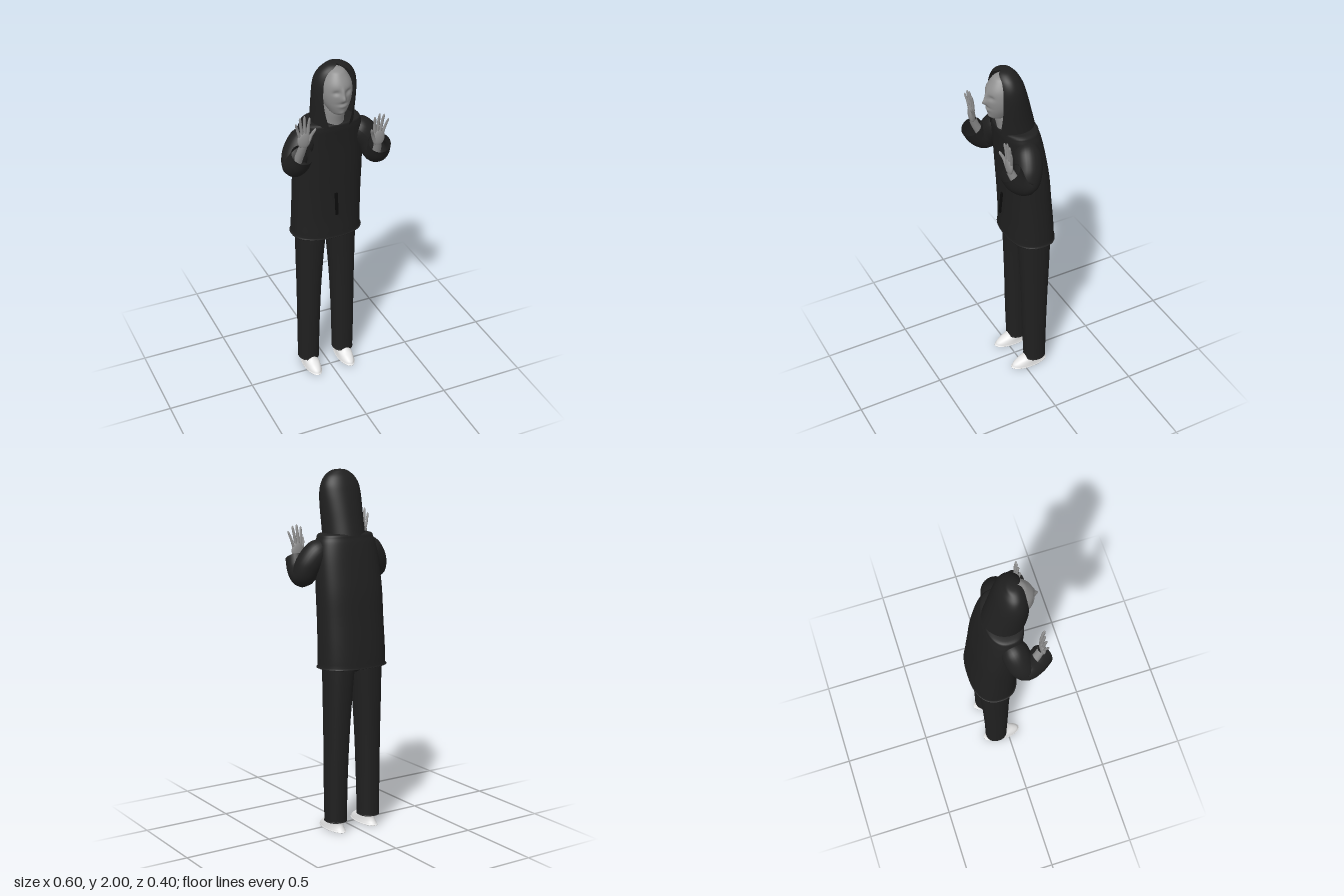
import * as THREE from 'three';
import { mergeVertices } from 'three/addons/utils/BufferGeometryUtils.js';

const cloth = new THREE.MeshStandardMaterial({ color: 0x202020, side: THREE.DoubleSide });
cloth.name = 'charcoal cloth';
const skin = new THREE.MeshStandardMaterial({ color: 0x8e8e8e });
skin.name = 'grey skin';
const white = new THREE.MeshStandardMaterial({ color: 0xe6e6e6 });
white.name = 'shoe white';
const black = new THREE.MeshStandardMaterial({ color: 0x0b0b0b });
black.name = 'zip black';

// Smooth value between b and c
const spline = (a, b, c, d, t) =>
  b + 0.5 * t * (c - a + t * (2 * a - 5 * b + 4 * c - d + t * (3 * (b - c) + d - a)));

function sampleRow(rows, v) {
  const n = rows.length - 1;
  const i = Math.min(n - 1, Math.floor(v * n));
  const at = (k) => rows[Math.max(0, Math.min(n, k))];
  return rows[i].map((_, k) => spline(at(i - 1)[k], at(i)[k], at(i + 1)[k], at(i + 2)[k], v * n - i));
}

// Surface through horizontal rows [y, centreX, halfWidth, zFront, zBack, halfOpening]
function loft(rows, { segments = 40, steps = 4, power = 1, warp } = {}) {
  const nv = (rows.length - 1) * steps;
  const geo = new THREE.PlaneGeometry(1, 1, segments, nv);
  const pos = geo.attributes.position;
  const round = (s) => Math.sign(s) * Math.abs(s) ** power;
  const p = new THREE.Vector3();
  for (let j = 0; j <= nv; j++) {
    const [y, cx, rx, zf, zb, open = 0] = sampleRow(rows, 1 - j / nv);
    const gap = open > 0 ? Math.asin(Math.min(1, open / rx)) : 0;
    for (let i = 0; i <= segments; i++) {
      const a = gap + (i / segments) * (2 * Math.PI - 2 * gap);
      p.set(cx + rx * round(Math.sin(a)), y, (zf + zb) / 2 + ((zf - zb) / 2) * round(Math.cos(a)));
      if (warp) warp(p);
      pos.setXYZ(j * (segments + 1) + i, p.x, p.y, p.z);
    }
  }
  geo.deleteAttribute('uv');
  geo.deleteAttribute('normal');
  const merged = mergeVertices(geo, 1e-5);
  merged.computeVertexNormals();
  return merged;
}

// Tube through points [x, y, z, radius]
function taperTube(points, steps = 24, sides = 24) {
  const curve = new THREE.CatmullRomCurve3(points.map((q) => new THREE.Vector3(q[0], q[1], q[2])));
  const geo = new THREE.TubeGeometry(curve, steps, 1, sides);
  const pos = geo.attributes.position;
  const p = new THREE.Vector3();
  for (let j = 0; j <= steps; j++) {
    const c = curve.getPointAt(j / steps);
    const [r] = sampleRow(points.map((q) => [q[3]]), curve.getUtoTmapping(j / steps));
    for (let i = 0; i <= sides; i++) {
      const k = j * (sides + 1) + i;
      p.fromBufferAttribute(pos, k).sub(c).multiplyScalar(r).add(c);
      pos.setXYZ(k, p.x, p.y, p.z);
    }
  }
  geo.computeVertexNormals();
  return geo;
}

// Nose, eye sockets, brow and lips pushed into the front of the head
function shapeFace(p) {
  if (p.z < 0.09) return;
  const bump = (x, y, sx, sy) => Math.exp(-(((p.x - x) / sx) ** 2) - ((p.y - y) / sy) ** 2);
  p.z += 0.02 * bump(0, 1.832, 0.011, 0.016) + 0.01 * bump(0, 1.86, 0.009, 0.025)
    + 0.005 * bump(0, 1.787, 0.022, 0.008) - 0.005 * bump(0, 1.803, 0.03, 0.006)
    + 0.006 * bump(0, 1.745, 0.02, 0.012)
    - 0.011 * (bump(0.033, 1.865, 0.018, 0.012) + bump(-0.033, 1.865, 0.018, 0.012));
}

export function createModel() {
  const model = new THREE.Group();
  model.name = 'hoodedFigure';
  const add = (name, geo, mat, parent = model) => {
    const mesh = new THREE.Mesh(geo, mat);
    mesh.name = name;
    parent.add(mesh);
    return mesh;
  };

  // Head and neck
  add('head', loft([
    [1.722, 0, 0, 0.11, 0.08], [1.732, 0, 0.034, 0.135, 0.04], [1.76, 0, 0.055, 0.152, 0.0],
    [1.8, 0, 0.074, 0.16, -0.02], [1.85, 0, 0.083, 0.164, -0.028], [1.9, 0, 0.078, 0.157, -0.02],
    [1.945, 0, 0.055, 0.13, 0.005], [1.965, 0, 0.034, 0.108, 0.03], [1.975, 0, 0, 0.07, 0.07],
  ], { segments: 96, steps: 7, warp: shapeFace }), skin);
  add('neck', loft([
    [1.6, 0, 0.058, 0.09, -0.03], [1.67, 0, 0.055, 0.1, -0.025], [1.74, 0, 0.052, 0.118, -0.02],
    [1.79, 0, 0.045, 0.11, -0.01],
  ]), skin);

  // Hood, open at the face
  add('hood', loft([
    [1.65, 0, 0.118, 0.125, -0.107, 0.055], [1.72, 0, 0.118, 0.135, -0.09, 0.074],
    [1.8, 0, 0.12, 0.142, -0.07, 0.087], [1.87, 0, 0.12, 0.14, -0.05, 0.088],
    [1.92, 0, 0.112, 0.13, -0.033, 0.08], [1.96, 0, 0.09, 0.118, -0.012, 0.058],
    [1.985, 0, 0.06, 0.1, 0.01, 0.02], [1.997, 0, 0.032, 0.078, 0.025, 0], [2.0, 0, 0, 0.05, 0.05, 0],
  ], { segments: 56, steps: 5 }), cloth);

  // Sweatshirt body with closed hem
  add('sweatshirt', loft([
    [0.945, 0, 0, -0.07, -0.07], [0.938, 0, 0.19, 0.052, -0.192], [0.945, 0, 0.197, 0.06, -0.2],
    [1.05, 0, 0.196, 0.06, -0.193], [1.2, 0, 0.194, 0.066, -0.178], [1.35, 0, 0.194, 0.075, -0.163],
    [1.5, 0, 0.188, 0.085, -0.137], [1.59, 0, 0.178, 0.094, -0.118], [1.635, 0, 0.166, 0.098, -0.105],
    [1.66, 0, 0.14, 0.088, -0.09], [1.662, 0, 0, 0.0, 0.0],
  ], { segments: 56, power: 0.82 }), cloth);
  const zip = add('zipPull', new THREE.BoxGeometry(0.016, 0.13, 0.008), black);
  zip.position.set(0, 1.165, 0.084);
  zip.rotation.x = -0.1;

  // Seat of the trousers
  const seat = add('trouserSeat', new THREE.SphereGeometry(0.055, 24, 16), cloth);
  seat.scale.set(1, 0.8, 1.4);
  seat.position.set(0, 0.94, -0.07);

  for (const s of [1, -1]) {
    const side = s > 0 ? 'left' : 'right';

    // Trouser leg and shoe
    add(side + 'TrouserLeg', loft([
      [0.085, s * 0.11, 0, -0.07, -0.07], [0.066, s * 0.11, 0.056, -0.014, -0.133],
      [0.075, s * 0.11, 0.06, -0.01, -0.138], [0.3, s * 0.108, 0.063, -0.002, -0.142],
      [0.55, s * 0.103, 0.068, 0.004, -0.15], [0.78, s * 0.096, 0.077, 0.013, -0.16],
      [0.94, s * 0.089, 0.085, 0.02, -0.165], [1.0, s * 0.087, 0.085, 0.02, -0.165],
    ], { power: 0.9 }), cloth);
    add(side + 'Shoe', loft([
      [0, s * 0.107, 0, -0.03, -0.03], [0, s * 0.107, 0.045, 0.07, -0.146],
      [0.008, s * 0.107, 0.046, 0.071, -0.146], [0.022, s * 0.107, 0.044, 0.063, -0.134],
      [0.04, s * 0.107, 0.042, 0.038, -0.126], [0.06, s * 0.108, 0.039, 0.002, -0.126],
      [0.09, s * 0.109, 0.036, -0.02, -0.12],
    ]), white);

    // Raised arm; the right one is held a little higher
    const lift = s > 0 ? 0 : 0.025;
    add(side + 'Sleeve', taperTube([
      [s * 0.12, 1.59, -0.005, 0.05], [s * 0.165, 1.56, 0.012, 0.072], [s * 0.213, 1.495, 0.03, 0.073],
      [s * 0.234, 1.435 + lift * 0.6, 0.055, 0.065], [s * 0.231, 1.46 + lift, 0.105, 0.062],
      [s * 0.222, 1.522 + lift, 0.143, 0.06],
    ], 40, 28), cloth);

    // Open hand, palm forward
    const hand = new THREE.Group();
    hand.name = side + 'Hand';
    hand.position.set(s * 0.213, s > 0 ? 1.56 : 1.635, 0.145);
    model.add(hand);
    add('wrist', taperTube([
      [s * 0.012, -0.15, -0.06, 0.024], [s * 0.006, -0.08, -0.025, 0.022], [0, -0.03, -0.004, 0.021],
    ], 10, 16), skin, hand);
    const palm = add('palm', new THREE.SphereGeometry(1, 24, 16), skin, hand);
    palm.scale.set(0.036, 0.05, 0.015);
    // Each finger: base x, base y, tip x, tip y, tip z, radius
    const fingers = [
      [-0.022, 0.03, -0.028, 0.13, 0.012, 0.008], [-0.006, 0.037, 0.0, 0.144, 0.01, 0.008],
      [0.01, 0.034, 0.026, 0.136, 0.01, 0.008], [0.024, 0.022, 0.051, 0.108, 0.014, 0.007],
      [-0.022, -0.02, -0.055, 0.07, 0.028, 0.009],
    ];
    fingers.forEach(([bx, by, tx, ty, tz, r], i) => {
      const name = i === 4 ? 'thumb' : 'finger' + (i + 1);
      add(name, taperTube([
        [s * bx, by, 0, r * 1.15], [s * (bx + tx) / 2, (by + ty) / 2, tz * 0.3, r],
        [s * (bx * 0.1 + tx * 0.9), by * 0.1 + ty * 0.9, tz * 0.9, r * 0.75], [s * tx, ty, tz, 0.001],
      ], 14, 10), skin, hand);
    });
  }
  return model;
}
